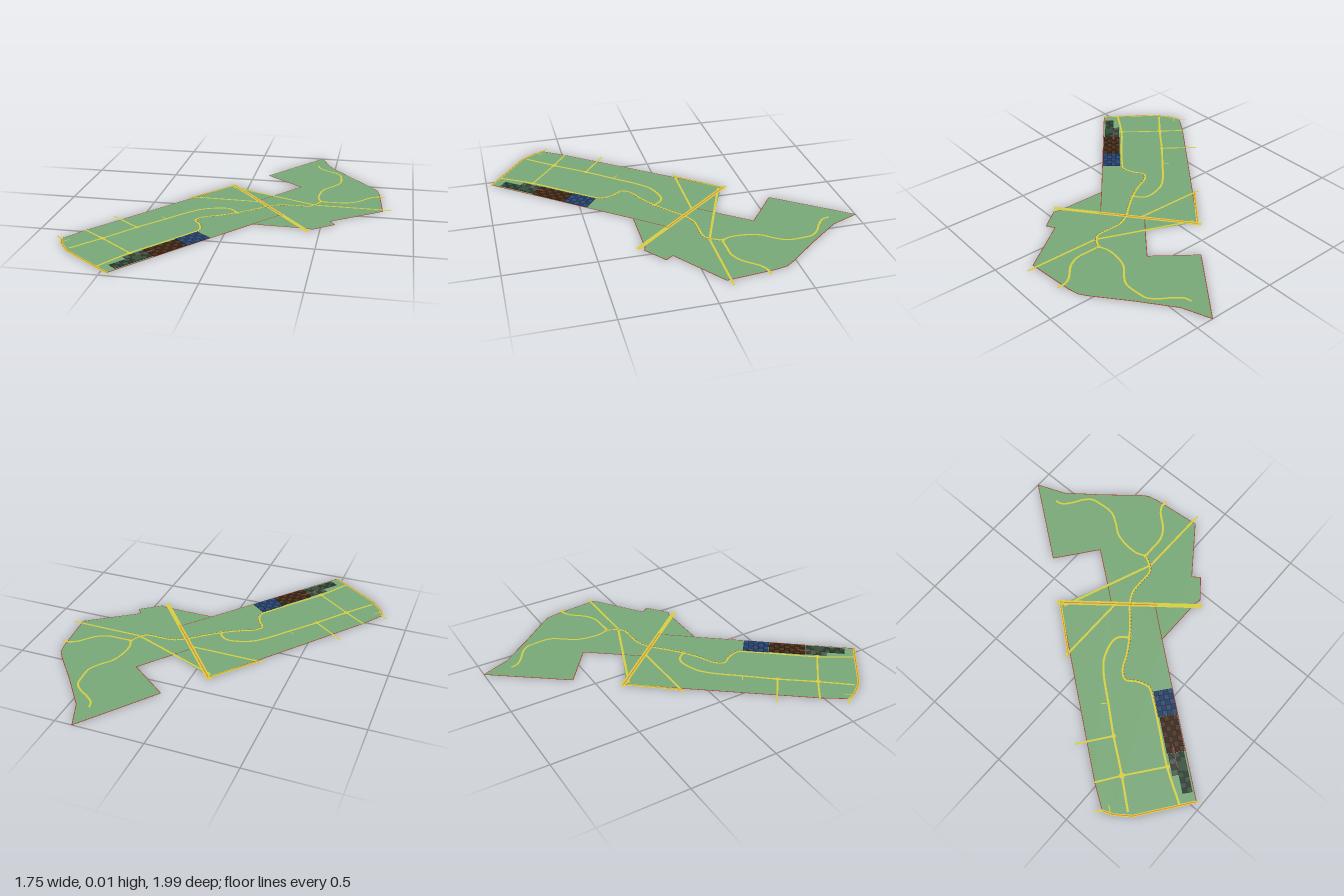
import * as THREE from 'three';

const GROUND_Y = 0.0006, TOP_Y = 0.0012;
const mat = (color) => new THREE.MeshStandardMaterial({ color, side: THREE.DoubleSide });
const green = mat(0x7aaa7a), yellow = mat(0xd9cf42), red = mat(0xa03a28), orange = mat(0xe0802c), brown = mat(0x80602c);

function add(parent, name, geometry, material) {
  const mesh = new THREE.Mesh(geometry, material);
  mesh.name = name;
  parent.add(mesh);
  return mesh;
}

// Flat strip following [x, z] points, on both faces of the ground
function ribbon(points, width, lift = 0, smooth = false, offset = 0) {
  let pts = points.map(([x, z]) => new THREE.Vector3(x, 0, z));
  if (smooth) pts = new THREE.CatmullRomCurve3(pts, false, 'centripetal').getPoints(points.length * 8);
  const pos = [], index = [];
  for (const y of [TOP_Y + lift, -lift]) {
    const base = pos.length / 3;
    pts.forEach((p, i) => {
      const a = pts[Math.max(i - 1, 0)], b = pts[Math.min(i + 1, pts.length - 1)];
      const d = b.clone().sub(a).normalize();
      for (const s of [offset - width / 2, offset + width / 2]) pos.push(p.x - d.z * s, y, p.z + d.x * s);
      if (i) {
        const k = base + i * 2;
        index.push(k - 2, k - 1, k, k, k - 1, k + 1);
      }
    });
  }
  const g = new THREE.BufferGeometry();
  g.setAttribute('position', new THREE.Float32BufferAttribute(pos, 3));
  g.setIndex(index);
  // every face of the strip is horizontal
  g.setAttribute('normal', new THREE.Float32BufferAttribute(pos.map((_, i) => (i % 3 === 1 ? 1 : 0)), 3));
  return g;
}

export function createModel() {
  const model = new THREE.Group();
  model.name = 'sitePlan';

  // Ground sheet
  const outline = [
    [0.4, -1], [0.463, -0.84], [0.611, -0.65], [0.754, -0.48], [0.786, -0.434], [0.8, -0.37], [0.828, -0.095],
    [0.543, 0.11], [0.574, 0.153], [0.458, 0.243], [0.43, 0.233], [0.125, 0.23], [-0.467, 0.968],
    [-0.752, 0.757], [-0.815, 0.672], [-0.836, 0.614], [-0.752, 0.487], [-0.097, -0.36], [0.178, -0.233],
    [0.321, -0.418], [0.094, -0.593],
  ];
  const shape = new THREE.Shape(outline.map(([x, z]) => new THREE.Vector2(x, -z)));
  const ground = new THREE.ShapeGeometry(shape);
  ground.rotateX(-Math.PI / 2);
  ground.translate(0, GROUND_Y, 0);
  add(model, 'ground', ground, green);

  // Boundary lines, one strip per edge
  const boundary = new THREE.Group();
  boundary.name = 'boundary';
  model.add(boundary);
  outline.forEach((p, i) => {
    if (i !== 17) add(boundary, 'boundaryLine', ribbon([p, outline[(i + 1) % outline.length]], 0.004), red);
  });
  add(boundary, 'innerBoundaryLine', ribbon([[0.178, -0.233], [0.1, -0.135]], 0.004), red);
  add(boundary, 'innerBoundaryLine', ribbon([[0.125, 0.23], [0.272, 0.05]], 0.004), red);

  // Roads: name, width, smooth, points
  const mainPath = [
    [0.468, -0.185], [0.437, -0.13], [0.405, -0.1], [0.31, -0.095], [0.24, -0.09], [0.17, -0.053], [0.09, 0.016],
    [0.01, 0.08], [-0.08, 0.137], [-0.165, 0.18], [-0.197, 0.227], [-0.16, 0.29], [-0.144, 0.36], [-0.18, 0.418],
    [-0.3, 0.57], [-0.424, 0.725], [-0.54, 0.91],
  ];
  const westEdge = [[-0.836, 0.62], [-0.815, 0.672], [-0.752, 0.757], [-0.467, 0.968]];
  const roads = [
    ['mainRoad', 0.026, false, [[-0.102, -0.386], [0.437, 0.275]]],
    ['diagonalRoad', 0.013, false, [[-0.09, -0.338], [0.442, -0.122]]],
    ['eastRoad', 0.012, false, [[0.437, -0.122], [0.876, -0.117]]],
    ['crossRoad', 0.012, false, [[-0.324, -0.124], [0.11, -0.118]]],
    ['northEdgeRoad', 0.014, false, [[-0.3, -0.115], [-0.1, -0.358]]],
    ['northPath', 0.011, true, [
      [0.389, -0.84], [0.4, -0.8], [0.447, -0.757], [0.505, -0.72], [0.543, -0.677], [0.553, -0.62], [0.553, -0.53],
      [0.52, -0.47], [0.468, -0.4], [0.447, -0.317], [0.447, -0.238], [0.468, -0.185]]],
    ['eastPath', 0.012, true, [
      [0.468, -0.185], [0.54, -0.187], [0.61, -0.19], [0.675, -0.222], [0.754, -0.307], [0.796, -0.328], [0.835, -0.328]]],
    ['mainPath', 0.012, true, mainPath],
    ['westPath', 0.012, true, [
      [0.01, 0.08], [-0.023, 0.037], [-0.065, 0.021], [-0.18, 0.053], [-0.25, 0.11], [-0.37, 0.252], [-0.488, 0.392],
      [-0.56, 0.487], [-0.625, 0.571], [-0.752, 0.725]]],
    ['sideRoad', 0.01, false, [[-0.662, 0.26], [-0.488, 0.392]]],
    ['spur', 0.005, false, [[-0.395, 0.217], [-0.36, 0.25]]],
    ['lowerCrossRoad', 0.01, false, [[-0.752, 0.481], [-0.625, 0.571], [-0.42, 0.73]]],
    ['westEdgeRoad', 0.014, false, westEdge],
    ['westRoadStub', 0.01, false, [[-0.87, 0.587], [-0.83, 0.62]]],
    ['westSpur', 0.005, false, [[-0.79, 0.62], [-0.825, 0.665]]],
    ['southRoadTip', 0.004, false, [[-0.475, 0.962], [-0.445, 0.99]]],
    ['eastRoadStub', 0.012, false, [[0.79, -0.326], [0.835, -0.328]]],
  ];
  const roadGroup = new THREE.Group();
  roadGroup.name = 'roads';
  model.add(roadGroup);
  for (const [name, width, smooth, pts] of roads) add(roadGroup, name, ribbon(pts, width, 0.0002, smooth), yellow);

  // Junction discs
  for (const [x, z, r] of [[-0.625, 0.571, 0.016], [-0.488, 0.392, 0.013], [0.01, 0.08, 0.013], [-0.424, 0.728, 0.014], [0.468, -0.185, 0.013]]) {
    const disc = new THREE.CylinderGeometry(r, r, TOP_Y + 0.0008, 20);
    add(roadGroup, 'junction', disc, yellow).position.set(x, TOP_Y / 2, z);
  }

  // Coloured centre and edge lines on the roads
  add(roadGroup, 'mainRoadLine', ribbon([[-0.09, -0.371], [0.272, 0.073]], 0.006, 0.0005), orange);
  add(roadGroup, 'northEdgeLine', ribbon([[-0.3, -0.115], [-0.1, -0.358]], 0.004, 0.0005), orange);
  add(roadGroup, 'westEdgeLine', ribbon(westEdge, 0.005, 0.0005), orange);

  // Dashes along one side of the main path
  const curve = new THREE.CatmullRomCurve3(mainPath.map(([x, z]) => new THREE.Vector3(x, 0, z)), false, 'centripetal');
  for (let i = 0; i < 56; i++) {
    const ends = [i / 80, (i + 0.55) / 80].map((t) => curve.getPointAt(t)).map((p) => [p.x, p.z]);
    add(roadGroup, 'pathDash', ribbon(ends, 0.004, 0.0005, false, -0.006), brown);
  }

  // Building strip: local x runs along the south-east edge, local z inwards is negative
  const strip = new THREE.Group();
  strip.name = 'buildings';
  strip.position.set(-0.467, 0, 0.968);
  strip.rotation.y = Math.atan2(0.78, 0.626);
  model.add(strip);
  function block(name, s0, s1, w0, w1, height, material) {
    const g = new THREE.BoxGeometry(s1 - s0, height, w1 - w0);
    add(strip, name, g, material).position.set((s0 + s1) / 2, height / 2, -(w0 + w1) / 2);
  }
  // Rows of cells in alternating shades on a dark base
  function cells(name, s0, s1, w0, w1, cols, rows, height, base, shades) {
    block(name + 'Base', s0, s1, w0, w1, height - 0.0008, mat(base));
    const mats = shades.map(mat), ds = (s1 - s0) / cols, dw = (w1 - w0) / rows;
    for (let i = 0; i < cols; i++) for (let j = 0; j < rows; j++) {
      const s = s0 + i * ds, w = w0 + j * dw;
      block(name + 'Cell', s + ds * 0.07, s + ds * 0.93, w + dw * 0.07, w + dw * 0.93, height, mats[(i + j) % mats.length]);
    }
  }
  cells('blueBlock', 0.498, 0.648, 0.002, 0.11, 5, 4, 0.004, 0x16243c, [0x2a4a7a, 0x203a60]);
  cells('brownBlock', 0.285, 0.496, 0.004, 0.105, 7, 4, 0.004, 0x22160e, [0x50301a, 0x33200f]);
  cells('greenBlock', 0.055, 0.283, 0.01, 0.065, 8, 2, 0.004, 0x1e2a20, [0x38503c, 0x26382a]);
  cells('greyBlock', 0.16, 0.283, 0.065, 0.1, 4, 1, 0.004, 0x2a342c, [0x4e5a4e, 0x343c32]);
  block('tallBlock', 0.18, 0.23, 0.014, 0.06, 0.008, mat(0x38503c));
  block('accessLine', 0.2, 0.33, 0.062, 0.066, 0.005, mat(0xa05058));
  return model;
}
